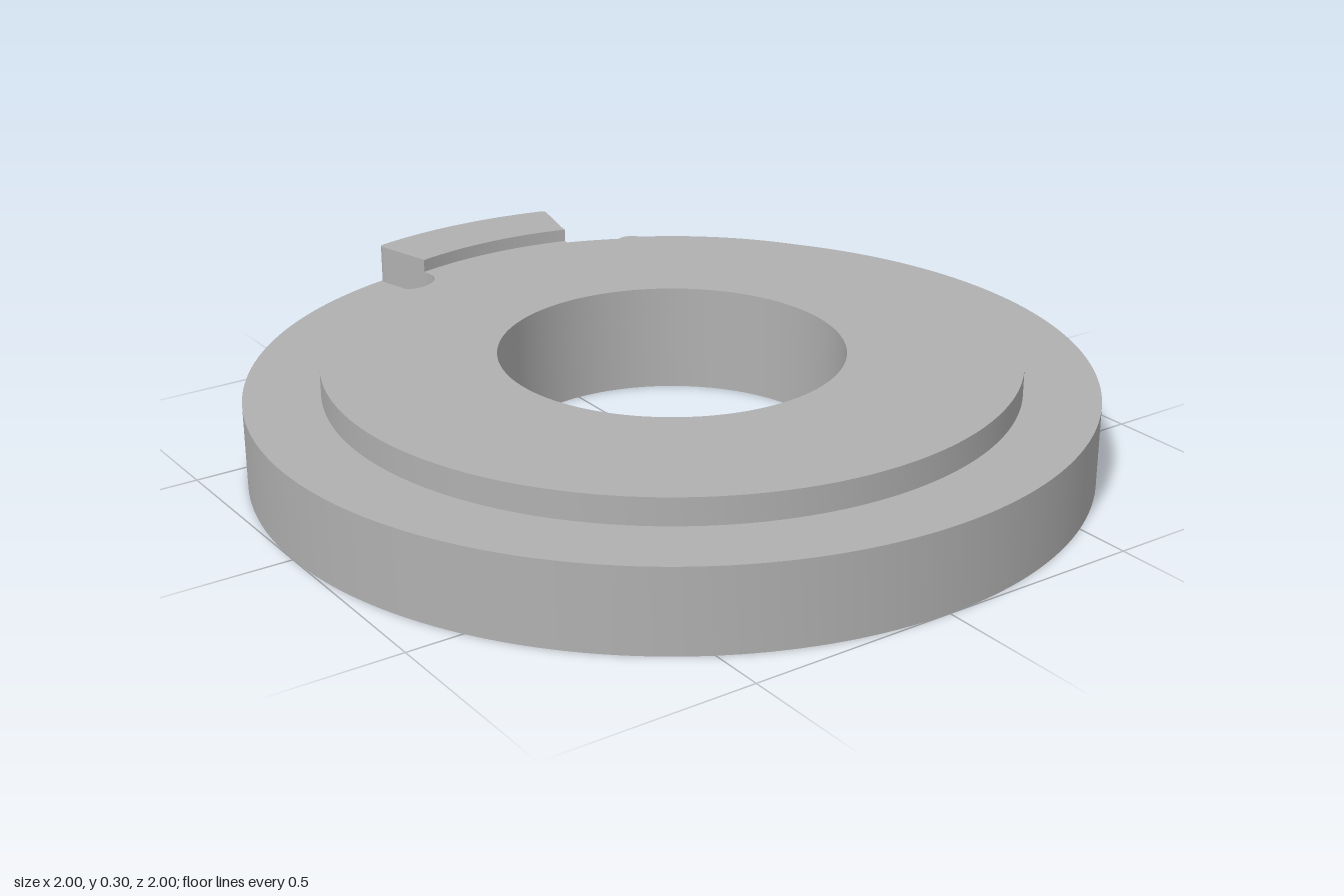
import * as THREE from 'three';
import { toCreasedNormals } from 'three/addons/utils/BufferGeometryUtils.js';

const BORE = 0.41, STEP_R = 0.82, KEY_R = 0.83;
const BASE_TOP = 0.2, STEP_TOP = 0.265, KEY_TOP = 0.297;

export function createModel() {
  const group = new THREE.Group();
  const steel = new THREE.MeshStandardMaterial({ color: 0xb0b0b0 });
  steel.name = 'grey steel';

  // Extrudes a plan outline (shape y points to the back) between two heights
  function addPlate(name, shape, bottom, top, segments) {
    const geo = new THREE.ExtrudeGeometry(shape, {
      depth: top - bottom, bevelEnabled: false, curveSegments: segments,
    });
    geo.rotateX(-Math.PI / 2);
    geo.translate(0, bottom, 0);
    const mesh = new THREE.Mesh(toCreasedNormals(geo, 0.5), steel);
    mesh.name = name;
    group.add(mesh);
  }

  function addBore(shape) {
    const hole = new THREE.Path();
    hole.absarc(0, 0, BORE, 0, Math.PI * 2, true);
    shape.holes.push(hole);
    return shape;
  }

  // Base ring
  const base = new THREE.Shape();
  base.absarc(0, 0, 1, 0, Math.PI * 2, false);
  addPlate('baseRing', addBore(base), 0, BASE_TOP, 120);

  // Raised step with a rounded relief notch on each side of the key
  const notch = new THREE.SplineCurve([
    [0.4, 0.716], [0.382, 0.734], [0.36, 0.741], [0.335, 0.731], [0.31, 0.712],
    [0.277, 0.706], [0.238, 0.72], [0.213, 0.75], [0.211, 0.78], [0.214, 0.802],
  ].map(([x, y]) => new THREE.Vector2(x, y))).getPoints(36);
  const mirrored = notch.map((p) => new THREE.Vector2(-p.x, p.y)).reverse();
  const arc = (radius, from, to, count) => Array.from({ length: count + 1 }, (_, i) => {
    const a = from + (to - from) * i / count;
    return new THREE.Vector2(Math.cos(a) * radius, Math.sin(a) * radius);
  });
  const notchStart = Math.atan2(0.716, 0.4);
  const keyStart = Math.atan2(0.802, 0.214);
  const step = new THREE.Shape([
    ...notch,
    ...arc(KEY_R, keyStart, Math.PI - keyStart, 16).slice(1, -1),
    ...mirrored,
    ...arc(STEP_R, Math.PI - notchStart, Math.PI * 2 + notchStart, 160).slice(1, -1),
  ]);
  addPlate('raisedStep', addBore(step), BASE_TOP, STEP_TOP, 120);

  // Locating key at the back edge, with softened outer corners
  const cornerAngle = Math.atan2(0.97, 0.243);
  const key = new THREE.Shape();
  key.moveTo(0.212, 0.802);
  key.lineTo(0.25, 0.95);
  key.quadraticCurveTo(0.255, 0.967, Math.cos(cornerAngle), Math.sin(cornerAngle));
  key.absarc(0, 0, 1, cornerAngle, Math.PI - cornerAngle, false);
  key.quadraticCurveTo(-0.255, 0.967, -0.25, 0.95);
  key.lineTo(-0.212, 0.802);
  key.absarc(0, 0, KEY_R, Math.PI - keyStart, keyStart, true);
  addPlate('locatingKey', key, BASE_TOP, KEY_TOP, 16);

  return group;
}
